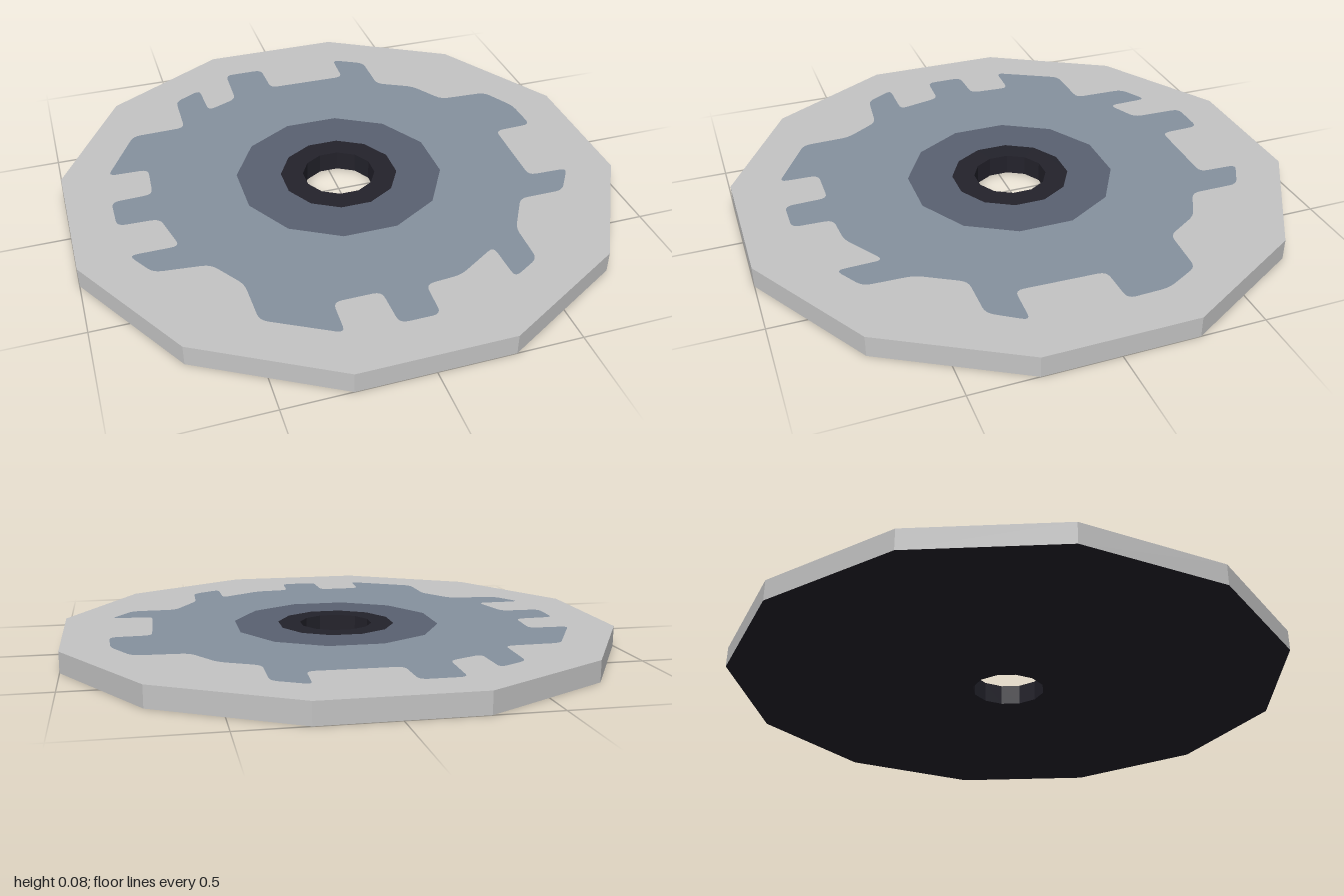
import * as THREE from 'three';

const HEIGHT = 0.075;
const SIDES = 12;

// Corners of a twelve-sided ring whose flats face the axes
function dodecagon(apothem) {
  const r = apothem / Math.cos(Math.PI / SIDES);
  return Array.from({ length: SIDES }, (_, i) => {
    const a = ((i + 0.5) * 2 * Math.PI) / SIDES;
    return new THREE.Vector2(Math.cos(a) * r, Math.sin(a) * r);
  });
}

// Replaces every corner of a closed outline with a small curve
function roundCorners(corners, radius) {
  const out = [];
  corners.forEach((p, i) => {
    const prev = corners[(i + corners.length - 1) % corners.length];
    const next = corners[(i + 1) % corners.length];
    const toward = (q) => p.clone().lerp(q, Math.min(0.45, radius / p.distanceTo(q)));
    out.push(...new THREE.QuadraticBezierCurve(toward(prev), p, toward(next)).getPoints(4));
  });
  return out;
}

// Outline of the toothed patch as [x, z], clockwise from the back tooth
const PATCH = [
  [-0.25, -0.64], [-0.245, -0.84], [-0.09, -0.84], [-0.085, -0.685], [0.23, -0.68],
  [0.235, -0.83], [0.355, -0.765], [0.355, -0.58], [0.49, -0.51], [0.57, -0.38],
  [0.76, -0.37], [0.83, -0.24], [0.835, -0.09], [0.685, -0.085], [0.675, 0.23],
  [0.83, 0.235], [0.75, 0.355], [0.58, 0.355], [0.49, 0.51], [0.485, 0.68],
  [0.375, 0.745], [0.37, 0.58], [0.21, 0.68], [0.08, 0.69], [0.075, 0.835],
  [-0.065, 0.835], [-0.07, 0.68], [-0.235, 0.68], [-0.24, 0.825], [-0.48, 0.69],
  [-0.485, 0.51], [-0.57, 0.38], [-0.76, 0.36], [-0.825, 0.25], [-0.65, 0.25],
  [-0.69, 0.08], [-0.84, 0.075], [-0.84, -0.07], [-0.69, -0.075], [-0.68, -0.235],
  [-0.83, -0.24], [-0.7, -0.48], [-0.495, -0.485], [-0.49, -0.69], [-0.38, -0.75],
  [-0.375, -0.585],
];

export function createModel() {
  const group = new THREE.Group();
  const material = (name, color) => {
    const m = new THREE.MeshStandardMaterial({ color });
    m.name = name;
    return m;
  };
  const lightGrey = material('light grey', 0xc4c4c4);
  const slate = material('slate blue', 0x86929f);
  const darkSlate = material('dark slate', 0x5a6171);
  const nearBlack = material('near black', 0x23222b);

  const add = (name, geometry, mat) => {
    const mesh = new THREE.Mesh(geometry, mat);
    mesh.name = name;
    group.add(mesh);
    return mesh;
  };

  // Flat face between two outlines, turned up or down
  const face = (name, outer, inner, mat, up = true) => {
    const shape = new THREE.Shape(outer);
    shape.holes.push(new THREE.Path(inner));
    const geometry = new THREE.ShapeGeometry(shape).rotateX(up ? -Math.PI / 2 : Math.PI / 2);
    add(name, geometry, mat).position.y = up ? HEIGHT : 0;
  };

  // Faceted upright wall, facing outward or inward
  const wall = (name, apothem, mat, inward = false) => {
    const r = apothem / Math.cos(Math.PI / SIDES);
    const tube = new THREE.CylinderGeometry(r, r, HEIGHT, SIDES, 1, true, Math.PI / SIDES);
    if (inward) tube.index.array.reverse();
    const geometry = tube.toNonIndexed();
    geometry.computeVertexNormals();
    add(name, geometry, mat).position.y = HEIGHT / 2;
  };

  const rim = dodecagon(1);
  const ring = dodecagon(0.37);
  const collar = dodecagon(0.21);
  const bore = dodecagon(0.13);
  const patch = roundCorners(PATCH.map(([x, z]) => new THREE.Vector2(x, -z)), 0.03);

  // Top surface, from the edge inward
  face('outerBorder', rim, patch, lightGrey);
  face('toothedPatch', patch, ring, slate);
  face('middleRing', ring, collar, darkSlate);
  face('centreCollar', collar, bore, nearBlack);

  // Edge, hole and underside
  wall('outerEdge', 1, lightGrey);
  wall('centreHole', 0.13, nearBlack, true);
  face('underside', rim, bore, nearBlack, false);

  return group;
}
